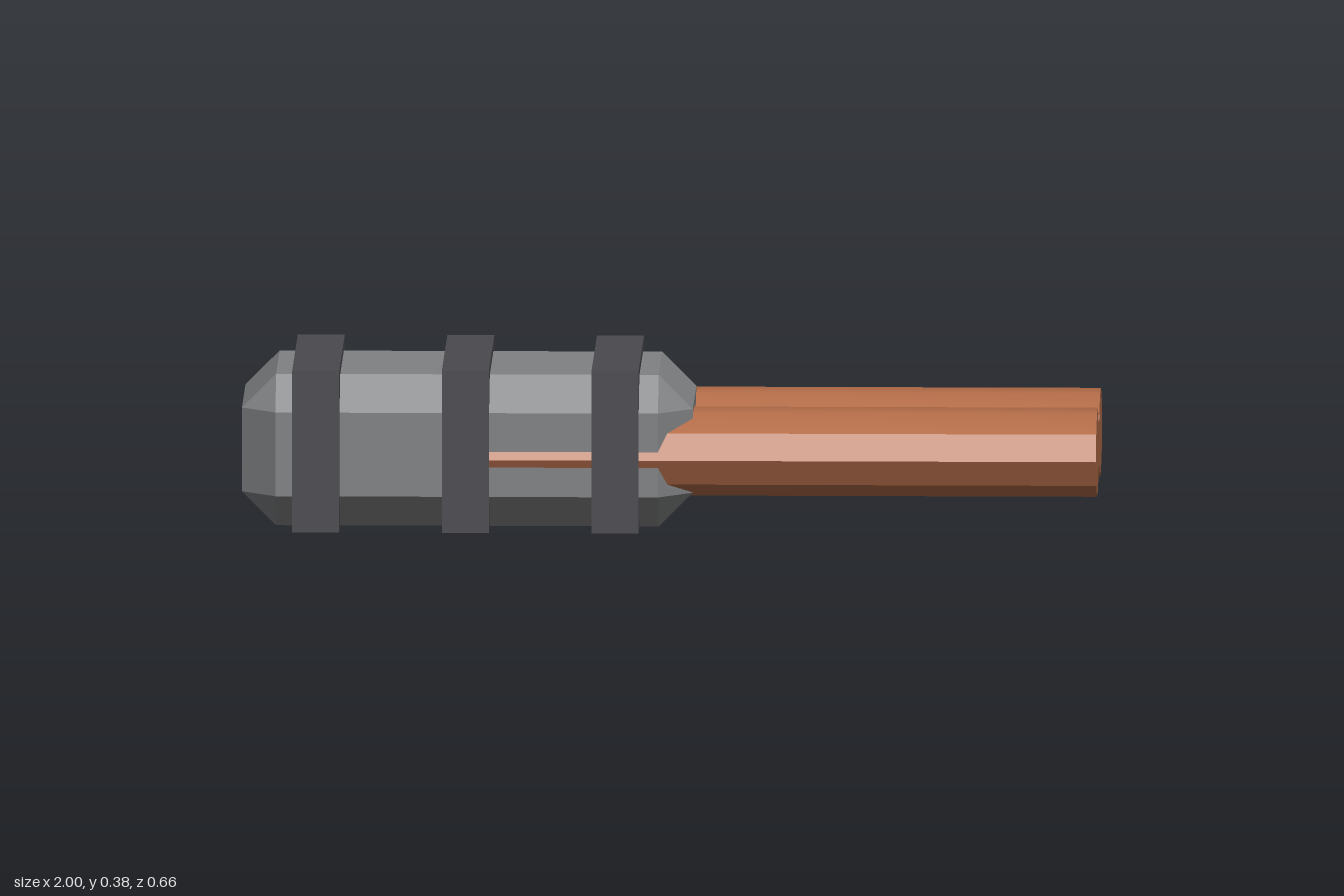
import * as THREE from 'three';
import { toCreasedNormals } from 'three/addons/utils/BufferGeometryUtils.js';
import { ConvexGeometry } from 'three/addons/geometries/ConvexGeometry.js';

// Box with every edge and corner bevelled
function chamferedBox(w, h, d, c) {
  const points = [];
  for (const sx of [-1, 1]) for (const sy of [-1, 1]) for (const sz of [-1, 1]) {
    for (let axis = 0; axis < 3; axis++) {
      const inset = [c, c, c];
      inset[axis] = 0;
      points.push(new THREE.Vector3(
        sx * (w / 2 - inset[0]), sy * (h / 2 - inset[1]), sz * (d / 2 - inset[2])));
    }
  }
  return new ConvexGeometry(points);
}

function material(name, color) {
  const m = new THREE.MeshStandardMaterial({ color });
  m.name = name;
  return m;
}

export function createModel() {
  const model = new THREE.Group();
  const grey = material('grey metal', 0x7f8182);
  const dark = material('dark metal', 0x4a494e);
  const copper = material('copper', 0xb36c48);

  function add(name, geometry, mat, x, y, z) {
    const mesh = new THREE.Mesh(geometry, mat);
    mesh.name = name;
    mesh.position.set(x, y, z);
    model.add(mesh);
  }

  // Bevelled housing
  add('housing', chamferedBox(1.055, 0.358, 0.54, 0.08), grey, -0.4725, 0.181, 0.039);

  // Three clamping bands
  const bandGeometry = new THREE.BoxGeometry(0.11, 0.383, 0.587);
  [-0.825, -0.475, -0.125].forEach((x, i) =>
    add('band' + (i + 1), bandGeometry, dark, x, 0.1915, 0.0395));

  // Two flattened ten-sided rods
  let rod = new THREE.CylinderGeometry(1, 1, 1.475, 10);
  rod.rotateZ(-Math.PI / 2);
  rod.scale(1, 0.103, 0.1625);
  rod = toCreasedNormals(rod, 0.55);
  add('frontRod', rod, copper, 0.2625, 0.17, 0.156);
  add('backRod', rod, copper, 0.2625, 0.17, -0.168);

  return model;
}
